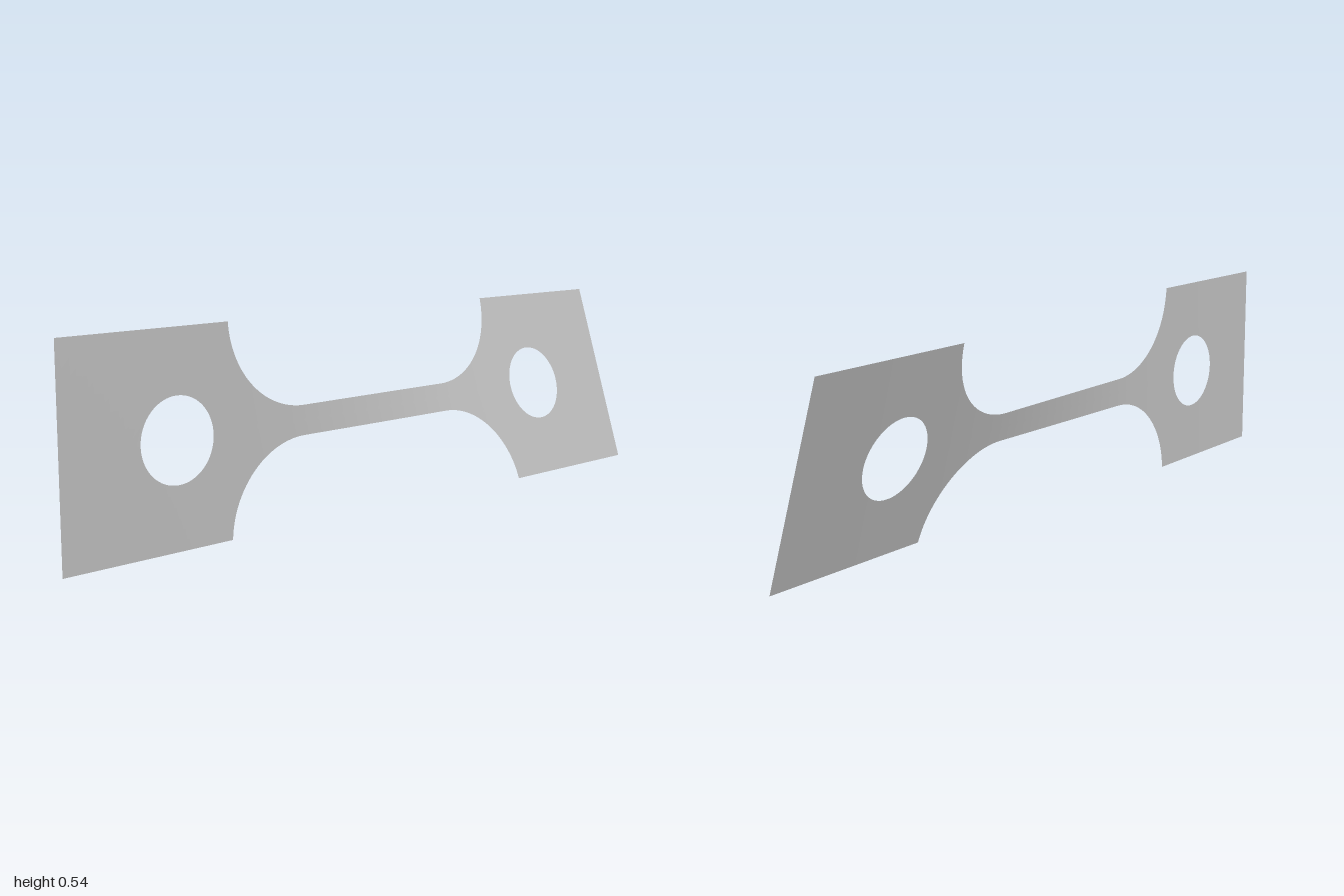
import * as THREE from 'three';

const HALF_H = 0.271, NECK = 0.039, HOLE_X = 0.67, HOLE_R = 0.108;
const FILLET_R = 0.245, FILLET_X = 0.265, FILLET_Y = NECK + FILLET_R;
const SHOULDER = FILLET_X + Math.sqrt(FILLET_R ** 2 - (FILLET_Y - HALF_H) ** 2);

// Half height of the outline at x: wide tab, round fillet, narrow neck
function outline(x) {
  const a = Math.abs(x);
  if (a >= SHOULDER - 1e-9) return HALF_H;
  if (a <= FILLET_X) return NECK;
  return FILLET_Y - Math.sqrt(FILLET_R ** 2 - (a - FILLET_X) ** 2);
}

// Half height of the round hole at x
function hole(x) {
  const d = Math.abs(x) - HOLE_X;
  return Math.sqrt(Math.max(0, HOLE_R ** 2 - d * d));
}

// Twist in degrees along x, almost all of it in the neck
const TWIST = [[-1, 0], [-0.5, 0.7], [-0.3, 2.2], [0.3, 15.4], [0.5, 17.1], [1, 18]];
function twist(x) {
  let i = 0;
  while (i < TWIST.length - 2 && x > TWIST[i + 1][0]) i++;
  const [x0, a0] = TWIST[i], [x1, a1] = TWIST[i + 1];
  return THREE.MathUtils.degToRad(a0 + (a1 - a0) * (x - x0) / (x1 - x0));
}

// Column positions, closer together around the fillets and the holes
function columns() {
  const half = [];
  for (let i = 1; i <= 10; i++) half.push(FILLET_X * i / 10);
  const end = Math.asin((SHOULDER - FILLET_X) / FILLET_R);
  for (let i = 1; i <= 24; i++) half.push(FILLET_X + FILLET_R * Math.sin(end * i / 24));
  for (let i = 0; i <= 32; i++) half.push(HOLE_X - HOLE_R * Math.cos(Math.PI * i / 32));
  for (let i = 1; i <= 6; i++) half.push(HOLE_X + HOLE_R + (1 - HOLE_X - HOLE_R) * i / 6);
  return [...half.map(x => -x), 0, ...half].sort((a, b) => a - b);
}

// Thin sheet, as one strip above and one below the midline
function sheetGeometry() {
  const xs = columns(), rows = 6, pos = [], index = [];
  for (const side of [1, -1]) {
    const base = pos.length / 3;
    xs.forEach((x, i) => {
      const inner = hole(x), outer = outline(x), a = twist(x);
      for (let j = 0; j <= rows; j++) {
        const h = side * (inner + (outer - inner) * j / rows);
        pos.push(x, HALF_H + h * Math.cos(a), -h * Math.sin(a));
        if (i && j) {
          const d = base + i * (rows + 1) + j, c = d - 1;
          const b = d - rows - 1, e = b - 1;
          if (side > 0) index.push(e, c, d, e, d, b);
          else index.push(e, d, c, e, b, d);
        }
      }
    });
  }
  const geo = new THREE.BufferGeometry();
  geo.setAttribute('position', new THREE.Float32BufferAttribute(pos, 3));
  geo.setIndex(index);
  geo.computeVertexNormals();
  return geo;
}

export function createModel() {
  const group = new THREE.Group();
  group.name = 'twistedSpecimen';
  const metal = new THREE.MeshStandardMaterial({ color: 0xb8b8b8, side: THREE.DoubleSide });
  metal.name = 'plain grey';
  const sheet = new THREE.Mesh(sheetGeometry(), metal);
  sheet.name = 'twistedSheet';
  group.add(sheet);
  return group;
}
